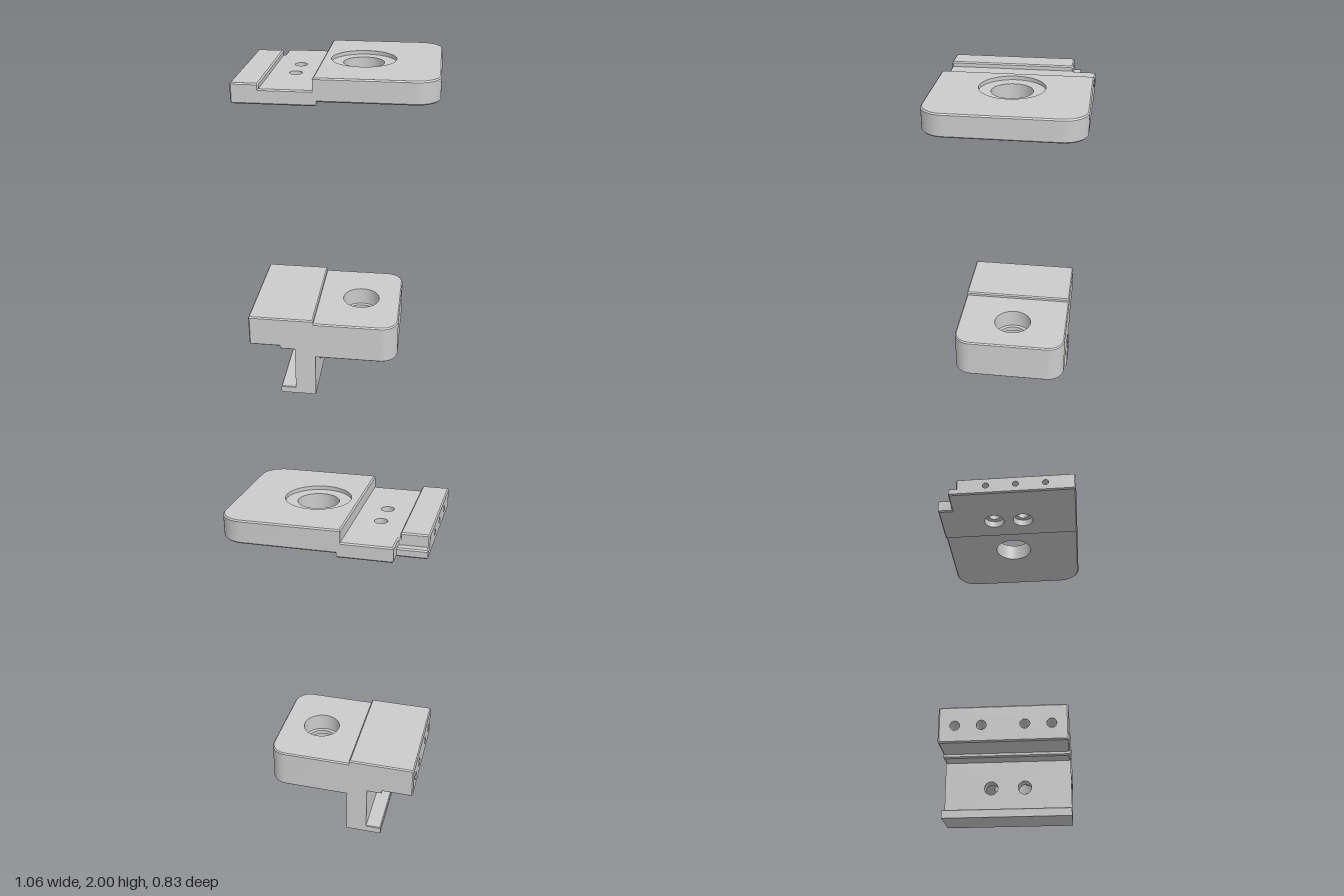
import * as THREE from 'three';
import { mergeGeometries, toCreasedNormals } from 'three/addons/utils/BufferGeometryUtils.js';

const V = (x, y) => new THREE.Vector2(x, y);
const C = 0.007; // edge chamfer

// Counter-clockwise rectangle; radii start at the lower left, n steps per corner.
function rect(u0, v0, u1, v1, radii = [0, 0, 0, 0], n = 12) {
  const corners = [[u0, v0, 1, 1], [u1, v0, -1, 1], [u1, v1, -1, -1], [u0, v1, 1, -1]];
  return corners.flatMap(([u, v, su, sv], i) => {
    const r = radii[i];
    if (!r) return [V(u, v)];
    return Array.from({ length: n + 1 }, (_, k) => {
      const a = Math.PI + (i + k / n) * Math.PI / 2;
      return V(u + su * r + r * Math.cos(a), v + sv * r + r * Math.sin(a));
    });
  });
}

// Outline moved inwards by d with mitred corners.
function inset(pts, d) {
  const n = pts.length;
  return pts.map((p, i) => {
    const a = p.clone().sub(pts[(i + n - 1) % n]).normalize();
    const b = pts[(i + 1) % n].clone().sub(p).normalize();
    const m = V(-a.y - b.y, a.x + b.x);
    return p.clone().addScaledVector(m, d / (1 + a.dot(b)));
  });
}

const bare = (g) => {
  const out = g.index ? g.toNonIndexed() : g;
  out.deleteAttribute('uv');
  out.deleteAttribute('normal');
  return out;
};

// Block with chamfered ends between t0 and t1. Each hole is { u, v, profile },
// where profile lists [radius, t] from the high end to the low end.
// axis 'y': u = x, v = -z.  axis 'x': u = -z, v = y.
function block(name, axis, outline, t0, t1, { c0 = C, c1 = C, holes = [] } = {}) {
  const rings = [[inset(outline, c0), t0], [outline, t0 + c0], [outline, t1 - c1], [inset(outline, c1), t1]];
  const pos = [];
  for (let k = 0; k < 3; k++) {
    const [lo, tl] = rings[k], [hi, th] = rings[k + 1];
    if (th - tl < 1e-6) continue;
    lo.forEach((a, i) => {
      const j = (i + 1) % lo.length, b = lo[j], c = hi[j], d = hi[i];
      pos.push(a.x, a.y, tl, b.x, b.y, tl, c.x, c.y, th, a.x, a.y, tl, c.x, c.y, th, d.x, d.y, th);
    });
  }
  const wall = new THREE.BufferGeometry();
  wall.setAttribute('position', new THREE.Float32BufferAttribute(pos, 3));
  const parts = [wall];

  // End faces, pierced where a hole reaches them
  for (const [ring, t, top] of [[...rings[0], false], [...rings[3], true]]) {
    const shape = new THREE.Shape(ring);
    for (const { u, v, profile } of holes) {
      const [r, ht] = top ? profile[0] : profile[profile.length - 1];
      if (r > 0 && Math.abs(ht - t) < 1e-6) {
        shape.holes.push(new THREE.Path().absarc(u, v, r, 0, Math.PI * 2, true));
      }
    }
    const cap = new THREE.ShapeGeometry(shape, 24);
    if (!top) cap.index.array.reverse();
    parts.push(bare(cap.translate(0, 0, t)));
  }

  // Hole walls, facing inwards
  for (const { u, v, profile } of holes) {
    const g = new THREE.LatheGeometry(profile.map(([r, t]) => V(r, t)), 48);
    parts.push(bare(g.rotateX(Math.PI / 2).translate(u, v, 0)));
  }

  const geo = mergeGeometries(parts);
  if (axis === 'y') geo.rotateX(-Math.PI / 2);
  else geo.rotateY(Math.PI / 2);
  const mesh = new THREE.Mesh(toCreasedNormals(geo, 0.4), new THREE.MeshStandardMaterial({ color: 0xcccccc }));
  mesh.name = name;
  return mesh;
}

function makePlate() {
  const g = new THREE.Group();
  g.name = 'upperPlate';
  // Thick end with the recessed bore
  g.add(block('plateSlab', 'y', rect(-0.11, -0.415, 0.527, 0.415, [0, 0.125, 0.125, 0]), 1.877, 2, {
    holes: [{ u: 0.11, v: 0, profile: [[0.175, 2], [0.175, 1.98], [0.11, 1.98], [0.11, 1.877]] }],
  }));
  // Thin middle with two counterbored bolt holes and a notched back corner
  const middle = [[-0.40, -0.415], [-0.09, -0.415], [-0.09, 0.415], [-0.375, 0.415],
    [-0.375, 0.3], [-0.378, 0.29], [-0.388, 0.285], [-0.40, 0.285]].map(([u, v]) => V(u, v));
  g.add(block('plateMiddle', 'y', middle, 1.855, 1.935, {
    holes: [-0.088, 0.088].map((v) => ({
      u: -0.247, v, profile: [[0.035, 1.935], [0.035, 1.895], [0.06, 1.895], [0.06, 1.855]],
    })),
  }));
  // Raised end rail with blind screw holes
  g.add(block('plateRail', 'x', rect(-0.415, 1.855, 0.285, 1.963, [C, C, C, C], 1), -0.53, -0.382, {
    holes: [-0.11, 0.065, 0.24].map((z) => ({
      u: -z, v: 1.91, profile: [[0, -0.43], [0.018, -0.43], [0.018, -0.53]],
    })),
  }));
  // Low ledge behind the rail
  g.add(block('plateLedge', 'y', rect(-0.53, 0.2, -0.33, 0.33), 1.855, 1.9));
  return g;
}

function makeCarriage() {
  const g = new THREE.Group();
  g.name = 'lowerBlock';
  // Rounded body; its bore has a shoulder halfway down
  g.add(block('blockBody', 'y', rect(-0.2, -0.33, 0.352, 0.33, [0, 0.1, 0.1, 0]), 0.27, 0.505, {
    holes: [{
      u: 0.11, v: 0,
      profile: [[0.11, 0.505], [0.11, 0.4], [0.088, 0.4], [0.088, 0.375], [0.11, 0.375], [0.11, 0.27]],
    }],
  }));
  g.add(block('blockMiddle', 'y', rect(-0.345, -0.33, -0.143, 0.33), 0.315, 0.526));
  // Overhanging arm with four blind screw holes
  g.add(block('blockArm', 'x', rect(-0.33, 0.335, 0.33, 0.526, [C, C, C, C], 1), -0.53, -0.33, {
    c1: 0,
    holes: [-0.245, -0.11, 0.11, 0.245].map((z) => ({
      u: -z, v: 0.425, profile: [[0, -0.41], [0.025, -0.41], [0.025, -0.53]],
    })),
  }));
  // Upright web with two counterbored through holes
  g.add(block('web', 'x', rect(-0.33, 0, 0.33, 0.33), -0.255, -0.132, {
    c0: 0, c1: 0,
    holes: [-0.088, 0.088].map((u) => ({
      u, v: 0.175, profile: [[0.066, -0.132], [0.066, -0.185], [0.035, -0.185], [0.035, -0.255]],
    })),
  }));
  // Foot lip
  g.add(block('footLip', 'y', rect(-0.345, -0.33, -0.2, 0.33), 0, 0.043, { c0: 0, c1: 0.004 }));
  return g;
}

export function createModel() {
  const model = new THREE.Group();
  model.name = 'mountingBracket';
  model.add(makePlate(), makeCarriage());
  return model;
}
